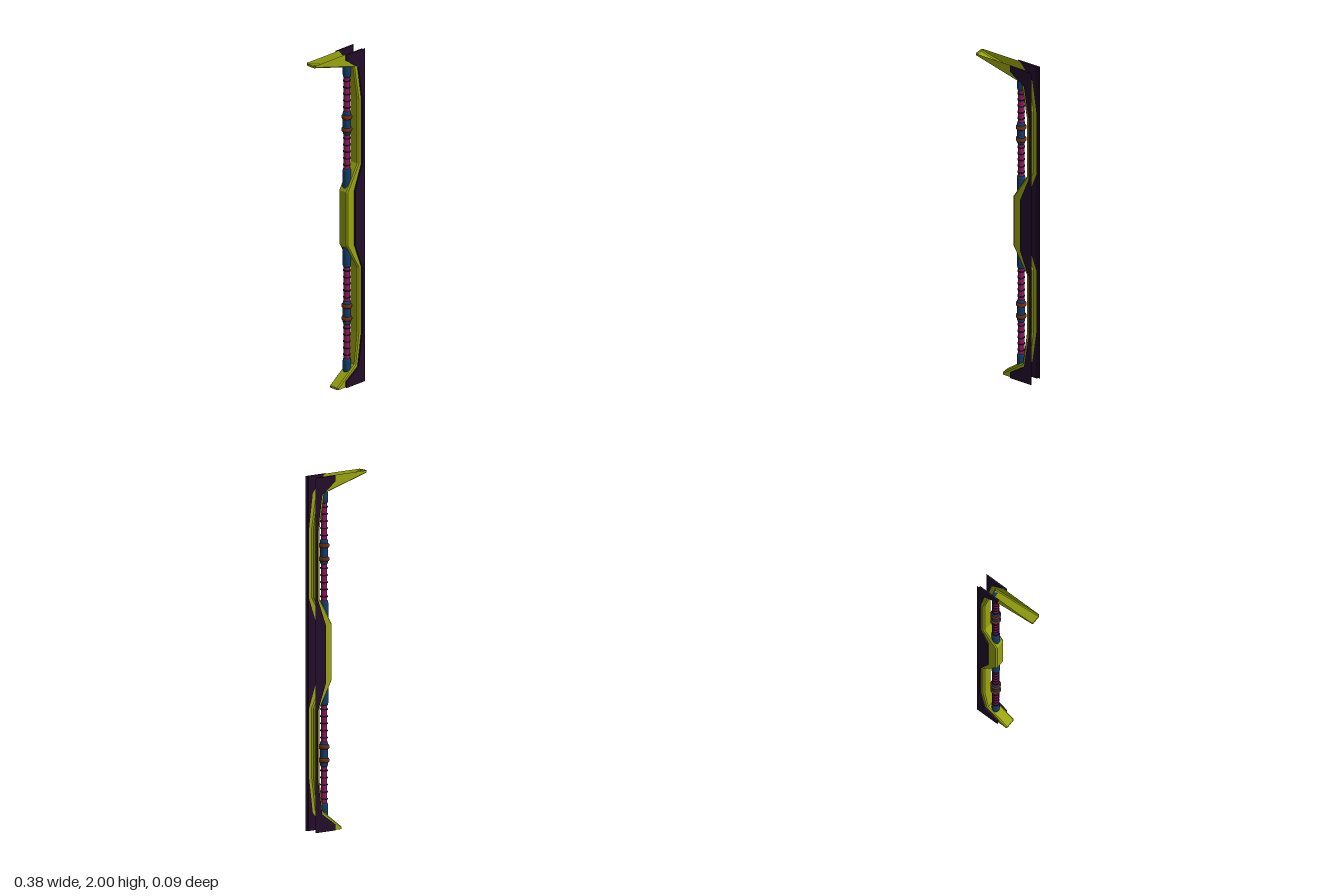
import * as THREE from 'three';

const mat = (color, extra = {}) => new THREE.MeshStandardMaterial({ color, ...extra });

export function createModel() {
  const model = new THREE.Group();
  const shellMat = mat(0x98a30f, { side: THREE.DoubleSide, flatShading: true });
  const plateMat = mat(0x220d2a, { side: THREE.DoubleSide, flatShading: true });
  const collarMat = mat(0x123c6a);
  const gripMat = mat(0x8c1a5c);
  const bandMat = mat(0x702c10);

  const add = (parent, name, geometry, material, x = 0, y = 0, z = 0) => {
    const mesh = new THREE.Mesh(geometry, material);
    mesh.name = name;
    mesh.position.set(x, y, z);
    parent.add(mesh);
    return mesh;
  };

  // Side plates, with a thin flange along the straight edge
  const outline = [
    [0.047, 2], [0.047, 1.965], [0.14, 1.9], [0.17, 1.7], [0.17, 1.31], [0.115, 1.165],
    [0.115, 0.835], [0.17, 0.69], [0.17, 0.3], [0.14, 0.1], [0.047, 0.035], [0.047, 0],
    [0.174, 0], [0.174, 2],
  ];
  const plateShape = new THREE.Shape(outline.map(([x, y]) => new THREE.Vector2(x, y)));
  for (const side of [-1, 1]) {
    const plate = new THREE.ExtrudeGeometry(plateShape, { depth: 0.01, bevelEnabled: false });
    const label = side > 0 ? 'front' : 'back';
    add(model, label + 'Plate', plate, plateMat, 0, 0, side > 0 ? 0.034 : -0.044);
    add(model, label + 'PlateFlange', new THREE.PlaneGeometry(0.016, 2), plateMat, 0.181, 1, side * 0.044);
  }

  // Open channel: face line, chamfer line and rim line, lofted across z
  const face = [
    [-0.192, 2], [-0.192, 1.986], [0.113, 1.904], [0.147, 1.7], [0.147, 1.315], [0.06, 1.165],
    [0.06, 0.845], [0.147, 0.69], [0.147, 0.3], [0.122, 0.115], [-0.012, 0.012], [-0.012, 0],
  ];
  const chamfer = [
    [-0.186, 2], [-0.186, 1.991], [0.119, 1.909], [0.154, 1.7], [0.154, 1.313], [0.067, 1.163],
    [0.067, 0.847], [0.154, 0.692], [0.154, 0.3], [0.128, 0.11], [-0.006, 0.008], [-0.006, 0],
  ];
  const rim = [
    [-0.186, 2], [0.06, 2], [0.145, 1.9], [0.172, 1.7], [0.172, 1.31], [0.12, 1.165],
    [0.12, 0.835], [0.172, 0.69], [0.172, 0.3], [0.145, 0.1], [0.06, 0], [-0.006, 0],
  ];
  const rows = [[rim, -0.033], [chamfer, -0.033], [face, -0.026], [face, 0.026], [chamfer, 0.033], [rim, 0.033]];
  const positions = [];
  const index = [];
  rows.forEach(([line, z]) => line.forEach(([x, y]) => positions.push(x, y, z)));
  const n = face.length;
  for (let r = 0; r < rows.length - 1; r++) {
    for (let i = 0; i < n - 1; i++) {
      const a = r * n + i, b = a + 1, c = a + n, d = c + 1;
      index.push(a, b, c, b, d, c);
    }
  }
  const shell = new THREE.BufferGeometry();
  shell.setAttribute('position', new THREE.Float32BufferAttribute(positions, 3));
  shell.setIndex(index);
  shell.computeVertexNormals();
  add(model, 'channelShell', shell, shellMat);

  // Rod halves, mirrored about the middle; d is the distance from mid-height
  const rod = (name, dir) => {
    const group = new THREE.Group();
    group.name = name;
    group.position.set(0.092, 1, 0);
    model.add(group);
    const collar = (part, d0, d1, r) => {
      const c = Math.min(0.012, (d1 - d0) / 4);
      const profile = [[0, d0], [r * 0.85, d0], [r, d0 + c], [r, d1 - c], [r * 0.85, d1], [0, d1]]
        .map(([x, y]) => new THREE.Vector2(x, y * dir));
      if (dir < 0) profile.reverse();
      add(group, part, new THREE.LatheGeometry(profile, 16), part.includes('Band') ? bandMat : collarMat);
    };
    collar('innerCollar', 0.165, 0.295, 0.024);
    collar('middleCollar', 0.5, 0.64, 0.023);
    collar('outerCollar', 0.845, dir > 0 ? 0.91 : 0.925, 0.023);
    collar('innerBand', 0.517, 0.541, 0.03);
    collar('outerBand', 0.593, 0.617, 0.03);
    for (const [part, d0, d1] of [['innerGrip', 0.29, 0.505], ['outerGrip', 0.635, 0.85]]) {
      add(group, part, new THREE.CylinderGeometry(0.018, 0.018, d1 - d0, 16), gripMat, 0, dir * (d0 + d1) / 2);
      // Raised ribs
      for (let i = 0; i < 5; i++) {
        const d = (d0 + d1) / 2 + (i - 2) * 0.04;
        add(group, part + 'Rib', new THREE.CylinderGeometry(0.021, 0.021, 0.007, 16), plateMat, 0, dir * d);
      }
    }
  };
  rod('upperRod', 1);
  rod('lowerRod', -1);

  return model;
}
